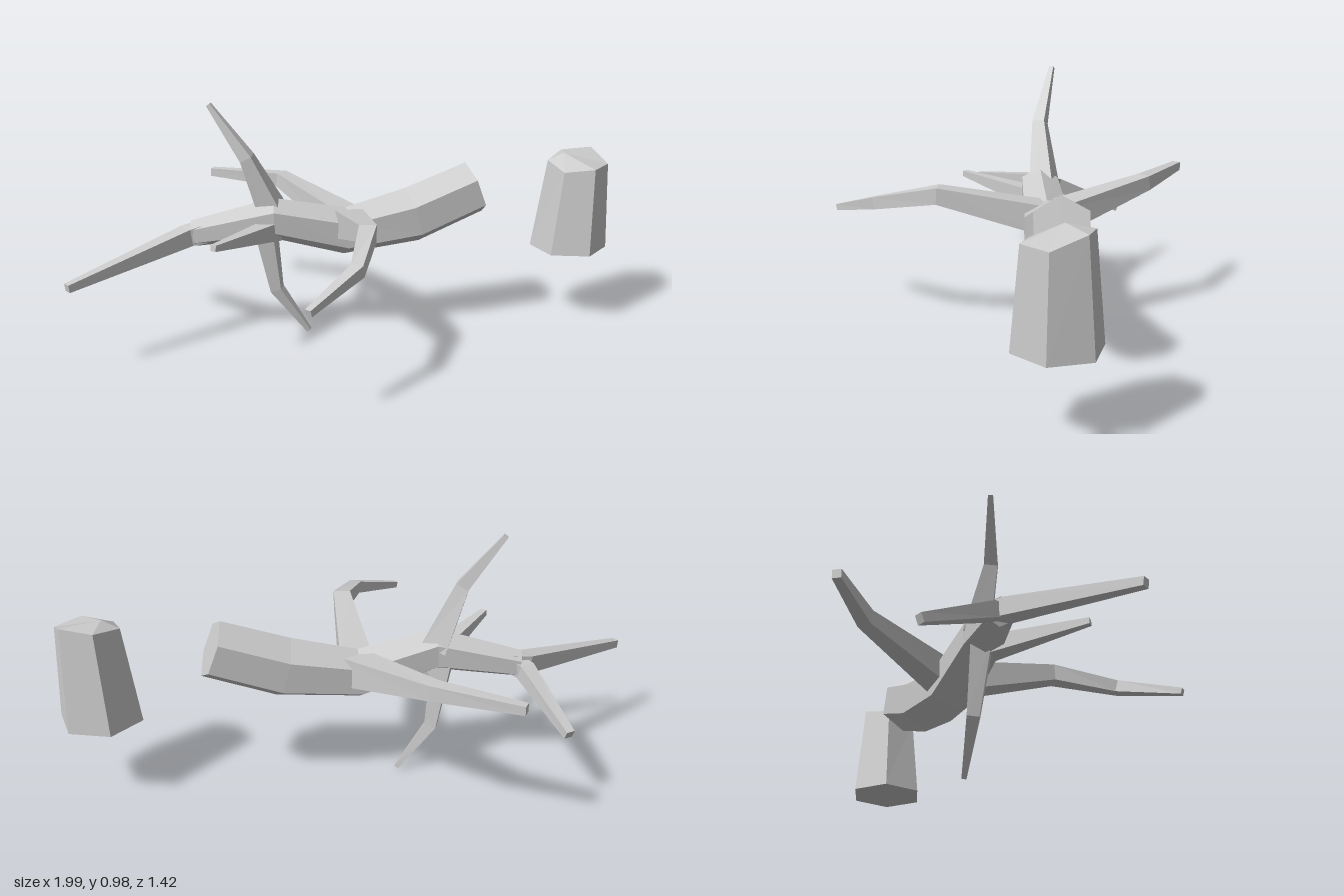
import * as THREE from 'three';

const material = new THREE.MeshStandardMaterial({ color: 0xcccccc, flatShading: true });

// Skin a list of equal-sized rings (arrays of Vector3), closing the ends at two centre points
function skin(name, rings, startPoint, endPoint) {
  const n = rings[0].length;
  const verts = [...rings.flat(), startPoint, endPoint];
  const start = rings.length * n, end = start + 1, last = start - n;
  const index = [];
  for (let i = 0; i < n; i++) {
    const j = (i + 1) % n;
    for (let k = 0; k < rings.length - 1; k++) {
      const a = k * n + i, b = k * n + j;
      index.push(a, b, b + n, a, b + n, a + n);
    }
    index.push(start, j, i, end, last + i, last + j);
  }
  const indexed = new THREE.BufferGeometry().setFromPoints(verts);
  indexed.setIndex(index);
  const geometry = indexed.toNonIndexed();
  geometry.computeVertexNormals();
  const mesh = new THREE.Mesh(geometry, material);
  mesh.name = name;
  return mesh;
}

// Faceted limb through stations [x, y, z, radius]
function limb(name, stations, sides = 4, twist = Math.PI / 4) {
  const pts = stations.map(([x, y, z]) => new THREE.Vector3(x, y, z));
  const whole = pts.at(-1).clone().sub(pts[0]).normalize();
  const ref = Math.abs(whole.y) > 0.7 ? new THREE.Vector3(0, 0, 1) : new THREE.Vector3(0, 1, 0);
  const rings = pts.map((p, k) => {
    const dir = pts[Math.min(k + 1, pts.length - 1)].clone().sub(pts[Math.max(k - 1, 0)]).normalize();
    const side = new THREE.Vector3().crossVectors(ref, dir).normalize();
    const up = new THREE.Vector3().crossVectors(dir, side);
    return Array.from({ length: sides }, (_, i) => {
      const a = twist + (i / sides) * Math.PI * 2;
      return p.clone()
        .addScaledVector(side, Math.cos(a) * stations[k][3])
        .addScaledVector(up, Math.sin(a) * stations[k][3]);
    });
  });
  return skin(name, rings, pts[0], pts.at(-1));
}

export function createModel() {
  const model = new THREE.Group();
  model.name = 'fallenTreeAndStump';

  // Fallen tree: trunk from the broken base to the fork
  const tree = new THREE.Group();
  tree.name = 'fallenTree';
  tree.add(limb('trunk', [
    [0.44, 0.59, -0.43, 0.115],
    [0.2, 0.49, -0.31, 0.12],
    [-0.06, 0.44, -0.19, 0.1],
    [-0.33, 0.515, -0.06, 0.085],
    [-0.64, 0.455, 0.02, 0.055],
  ], 6, Math.PI / 6));

  // Branches, each tapering from the trunk to its tip
  const branches = {
    forkFront: [[-0.6, 0.462, 0.01, 0.055], [-0.66, 0.45, 0.045, 0.05], [-0.98, 0.365, 0.49, 0.022]],
    forkBack: [[-0.6, 0.46, 0.02, 0.045], [-0.67, 0.44, -0.01, 0.043], [-0.87, 0.31, -0.23, 0.024]],
    upperBranch: [[-0.33, 0.53, -0.08, 0.07], [-0.42, 0.77, -0.025, 0.036], [-0.57, 0.98, -0.02, 0.013]],
    lowerBranch: [[-0.36, 0.48, -0.06, 0.055], [-0.325, 0.2, -0.09, 0.033], [-0.2, 0.01, -0.13, 0.013]],
    frontTwig: [[-0.32, 0.47, -0.05, 0.055], [-0.45, 0.51, 0.335, 0.017]],
    backBranch: [[-0.02, 0.46, -0.19, 0.085], [-0.41, 0.56, -0.485, 0.042], [-0.74, 0.56, -0.535, 0.024]],
    frontBranch: [[-0.05, 0.47, -0.2, 0.085], [0.115, 0.565, 0.2, 0.047], [0.13, 0.51, 0.46, 0.034],
      [0.01, 0.435, 0.705, 0.018]],
  };
  for (const [name, stations] of Object.entries(branches)) tree.add(limb(name, stations));
  model.add(tree);

  // Tapered six-sided stump with an uneven, slightly peaked top
  const topHeights = [0.69, 0.665, 0.68, 0.68, 0.725, 0.71];
  const ring = (cx, cz, r, height) => topHeights.map((_, i) => {
    const a = 3.02 - (i * Math.PI) / 3;
    return new THREE.Vector3(cx + Math.cos(a) * r, height(i), cz + Math.sin(a) * r);
  });
  model.add(skin('stump', [
    ring(0.838, -0.56, 0.16, () => 0.315),
    ring(0.86, -0.565, 0.125, (i) => topHeights[i]),
  ], new THREE.Vector3(0.838, 0.315, -0.56), new THREE.Vector3(0.8, 0.722, -0.565)));

  return model;
}
